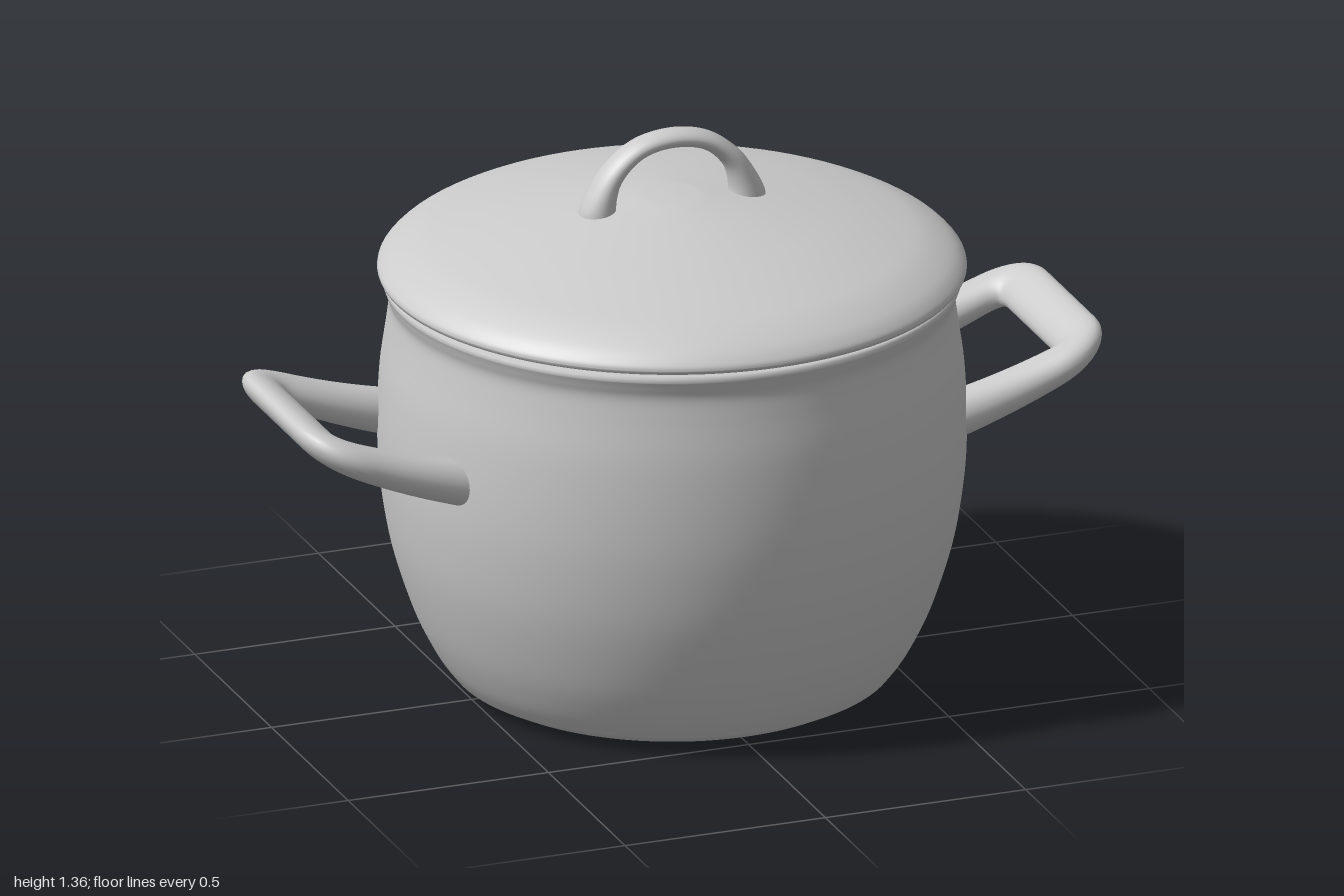
import * as THREE from 'three';

const material = new THREE.MeshStandardMaterial({ color: 0xcccccc });
const v2 = (p) => p.map(([x, y]) => new THREE.Vector2(x, y));
const smooth = (p, n) => new THREE.SplineCurve(v2(p)).getPoints(n);

function addMesh(parent, name, geometry) {
  const mesh = new THREE.Mesh(geometry, material);
  mesh.name = name;
  parent.add(mesh);
  return mesh;
}

// Sweeps an ellipse along points; size(p) gives [half width in plane, half width along up]
function sweep(points, up, size, sides = 24) {
  const pos = [], index = [], last = points.length - 1;
  points.forEach((p, i) => {
    const tangent = points[Math.min(i + 1, last)].clone().sub(points[Math.max(i - 1, 0)]);
    const side = tangent.cross(up).normalize();
    const [a, b] = size(p);
    for (let j = 0; j < sides; j++) {
      const t = (j / sides) * Math.PI * 2;
      const q = p.clone().addScaledVector(side, Math.cos(t) * a).addScaledVector(up, Math.sin(t) * b);
      pos.push(q.x, q.y, q.z);
      if (i === last) continue;
      const k = i * sides + j, n = i * sides + ((j + 1) % sides);
      index.push(k, k + sides, n, n, k + sides, n + sides);
    }
  });
  const g = new THREE.BufferGeometry();
  g.setAttribute('position', new THREE.Float32BufferAttribute(pos, 3));
  g.setIndex(index);
  g.computeVertexNormals();
  return g;
}

// U-shaped side handle rising outward from the wall
function sideHandleGeometry() {
  const X = 0.947, Z = 0.245, r = 0.09;
  const v = (x, z) => new THREE.Vector3(x, 0, z);
  const path = new THREE.CurvePath();
  path.add(new THREE.LineCurve3(v(0.6, Z), v(X - r, Z)));
  path.add(new THREE.QuadraticBezierCurve3(v(X - r, Z), v(X, Z), v(X, Z - r)));
  path.add(new THREE.LineCurve3(v(X, Z - r), v(X, r - Z)));
  path.add(new THREE.QuadraticBezierCurve3(v(X, r - Z), v(X, -Z), v(X - r, -Z)));
  path.add(new THREE.LineCurve3(v(X - r, -Z), v(0.6, -Z)));
  const g = sweep(path.getSpacedPoints(90), new THREE.Vector3(0, 1, 0),
    (p) => [0.054, THREE.MathUtils.mapLinear(p.x, 0.6, X, 0.058, 0.04)]);
  // Tilt and curve the flat loop upward
  const a = g.attributes.position;
  for (let i = 0; i < a.count; i++) {
    const d = a.getX(i) - 0.64;
    a.setY(i, a.getY(i) + 0.655 + 0.27 * d + 0.3 * d * Math.abs(d));
  }
  g.computeVertexNormals();
  return g;
}

export function createModel() {
  const pot = new THREE.Group();
  pot.name = 'cookingPot';

  // Hollow bellied body with a flared rim
  const outer = smooth([[0.52, 0.033], [0.56, 0.09], [0.61, 0.195], [0.658, 0.35], [0.682, 0.5], [0.688, 0.63],
    [0.682, 0.77], [0.667, 0.88], [0.661, 0.935], [0.668, 0.965], [0.675, 0.985]], 50);
  const inner = smooth([[0.635, 0.99], [0.632, 0.9], [0.648, 0.75], [0.652, 0.6], [0.625, 0.35], [0.53, 0.09], [0.44, 0.04]], 30);
  addMesh(pot, 'body', new THREE.LatheGeometry([
    ...v2([[0, 0], [0.43, 0], [0.445, 0.001], [0.48, 0.012]]), ...outer,
    ...v2([[0.675, 0.994], [0.669, 1], [0.645, 1]]), ...inner, ...v2([[0, 0.04]])], 96));

  // Domed lid with a lip that sits inside the rim
  const lid = new THREE.Group();
  lid.name = 'lid';
  pot.add(lid);
  const dome = smooth([[0.688, 1.018], [0.683, 1.032], [0.655, 1.058], [0.6, 1.087], [0.54, 1.107], [0.43, 1.135],
    [0.316, 1.158], [0.2, 1.178], [0.08, 1.195]], 40);
  addMesh(lid, 'lidDome', new THREE.LatheGeometry([
    ...v2([[0, 1.16], [0.3, 1.13], [0.55, 1.07], [0.605, 1.03], [0.605, 0.975], [0.63, 0.975], [0.632, 0.98],
      [0.632, 1.004], [0.636, 1.008], [0.675, 1.008], [0.685, 1.011]]),
    ...dome, ...v2([[0.06, 1.197], [0, 1.198]])], 96));

  // Arched grip, thicker at its feet
  const arch = new THREE.CatmullRomCurve3([[-0.19, 1.15], [-0.177, 1.21], [-0.148, 1.268], [-0.085, 1.32], [0, 1.337],
    [0.085, 1.32], [0.148, 1.268], [0.177, 1.21], [0.19, 1.15]].map(([x, y]) => new THREE.Vector3(x, y, 0)));
  addMesh(lid, 'lidGrip', sweep(arch.getSpacedPoints(60), new THREE.Vector3(0, 0, 1), (p) => {
    const t = THREE.MathUtils.clamp((1.337 - p.y) / 0.16, 0, 1);
    return [0.022 + 0.022 * t * t, 0.036 + 0.012 * t];
  }));

  // Pair of side handles
  const geometry = sideHandleGeometry();
  addMesh(pot, 'leftHandle', geometry);
  addMesh(pot, 'rightHandle', geometry).rotation.y = Math.PI;

  return pot;
}
